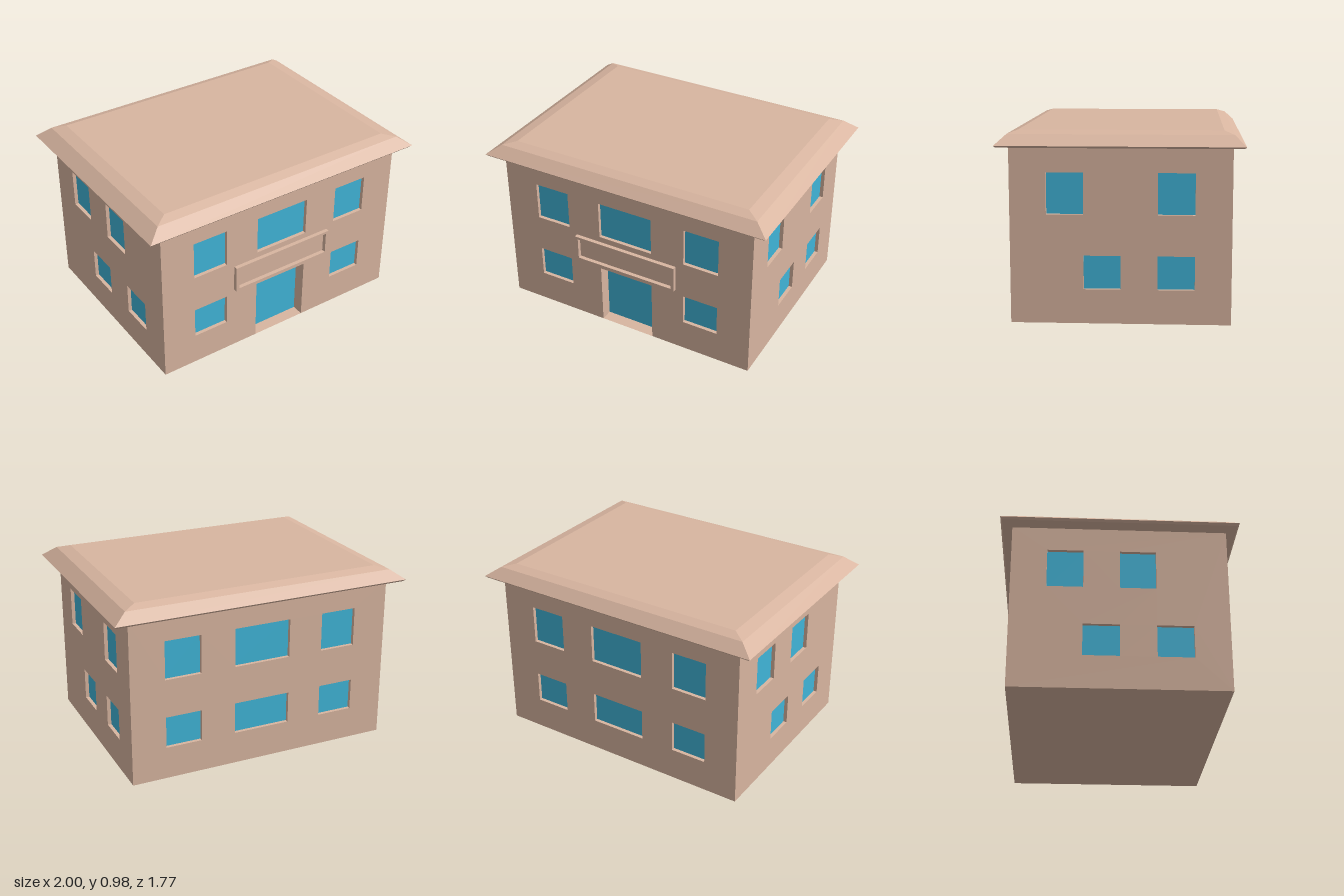
import * as THREE from 'three';

const plaster = new THREE.MeshStandardMaterial({ color: 0xd8b5a0, flatShading: true });
const glass = new THREE.MeshStandardMaterial({ color: 0x40b5d8, flatShading: true });

const HALF_W = 0.74, HALF_D = 0.56, WALL_H = 0.907;
const UPPER = [0.562, 0.775], LOWER = [0.178, 0.352];

function addMesh(parent, name, geometry, material = plaster) {
  const mesh = new THREE.Mesh(geometry, material);
  mesh.name = name;
  parent.add(mesh);
  return mesh;
}

// Skin stacked four-cornered rings with flat quads
function loftRings(rings, capEnds) {
  const pos = [];
  const quad = (a, b, c, d) => pos.push(...a, ...b, ...c, ...a, ...c, ...d);
  for (let r = 0; r < rings.length - 1; r++) {
    for (let i = 0; i < 4; i++) {
      const j = (i + 1) % 4;
      quad(rings[r][i], rings[r][j], rings[r + 1][j], rings[r + 1][i]);
    }
  }
  if (capEnds) {
    quad(...rings[rings.length - 1]);
    quad(...[...rings[0]].reverse());
  }
  const g = new THREE.BufferGeometry();
  g.setAttribute('position', new THREE.Float32BufferAttribute(pos, 3));
  g.computeVertexNormals();
  return g;
}

function rectPoints(x0, x1, y0, y1) {
  return [[x0, y0], [x1, y0], [x1, y1], [x0, y1]].map(([x, y]) => new THREE.Vector2(x, y));
}

// An opening is centre, width, bottom, top and recess depth
function opening(u, width, [bottom, top], depth = 0.02, name = 'window') {
  return { x0: u - width / 2, x1: u + width / 2, y0: bottom, y1: top, depth, name };
}

// One wall in its own plane: sheet with openings, reveals and glass
function makeFacade(name, half, openings) {
  const group = new THREE.Group();
  group.name = name;
  const outline = [[-half, 0]];
  for (const o of openings.filter(o => o.y0 === 0)) {
    outline.push([o.x0, 0], [o.x0, o.y1], [o.x1, o.y1], [o.x1, 0]);
  }
  outline.push([half, 0], [half, WALL_H], [-half, WALL_H]);
  const shape = new THREE.Shape(outline.map(p => new THREE.Vector2(...p)));
  for (const o of openings) {
    const corners = rectPoints(o.x0, o.x1, o.y0, o.y1);
    if (o.y0 > 0) shape.holes.push(new THREE.Path([...corners].reverse()));
    const ringAt = z => corners.map(p => [p.x, p.y, z]);
    addMesh(group, o.name + 'Reveal', loftRings([ringAt(0), ringAt(-o.depth)], false));
    const pane = addMesh(group, o.name + 'Glass',
      new THREE.PlaneGeometry(o.x1 - o.x0, o.y1 - o.y0), glass);
    pane.position.set((o.x0 + o.x1) / 2, (o.y0 + o.y1) / 2, -o.depth);
  }
  addMesh(group, 'wall', new THREE.ShapeGeometry(shape));
  return group;
}

export function createModel() {
  const model = new THREE.Group();
  model.name = 'building';
  const house = new THREE.Group();
  house.name = 'house';
  house.rotation.y = 0.385;
  model.add(house);

  // Front and back walls
  const sideWindows = [-0.45, 0.45].flatMap(u => [UPPER, LOWER].map(y => opening(u, 0.2, y)));
  const front = makeFacade('frontWall', HALF_W, [
    ...sideWindows,
    opening(0, 0.317, UPPER),
    opening(0, 0.317, [0, 0.352], 0.066, 'door'),
  ]);
  front.position.z = HALF_D;
  const back = makeFacade('backWall', HALF_W, [
    ...sideWindows,
    opening(0, 0.317, UPPER),
    opening(0, 0.317, LOWER),
  ]);
  back.position.z = -HALF_D;
  back.rotation.y = Math.PI;

  // Side walls with staggered windows
  const left = makeFacade('leftWall', HALF_D, [
    opening(-0.281, 0.188, UPPER), opening(0.281, 0.188, UPPER),
    opening(-0.094, 0.188, LOWER), opening(0.281, 0.188, LOWER),
  ]);
  left.position.x = HALF_W;
  left.rotation.y = Math.PI / 2;
  const right = makeFacade('rightWall', HALF_D, [
    opening(-0.281, 0.188, UPPER), opening(0.094, 0.188, UPPER),
    opening(-0.094, 0.188, LOWER), opening(0.281, 0.188, LOWER),
  ]);
  right.position.x = -HALF_W;
  right.rotation.y = -Math.PI / 2;
  house.add(front, back, left, right);

  // Raised rectangular frame above the door
  const frame = new THREE.Shape(rectPoints(-0.304, 0.304, 0.38, 0.53));
  frame.holes.push(new THREE.Path(rectPoints(-0.286, 0.286, 0.394, 0.516).reverse()));
  addMesh(front, 'panelFrame', new THREE.ExtrudeGeometry(frame, { depth: 0.022, bevelEnabled: false }));

  // Underside
  const floor = addMesh(house, 'floor', new THREE.PlaneGeometry(HALF_W * 2, HALF_D * 2));
  floor.rotation.x = Math.PI / 2;

  // Shallow hipped roof: scale of the eaves outline, height
  const roofRings = [[0.985, 0.905], [1, 0.915], [0.911, 0.967], [0.83, 0.984]].map(([s, y]) =>
    [[-1, 1], [1, 1], [1, -1], [-1, -1]].map(([x, z]) => [x * s * 0.826, y, z * s * 0.62]));
  addMesh(house, 'roof', loftRings(roofRings, true));

  return model;
}
